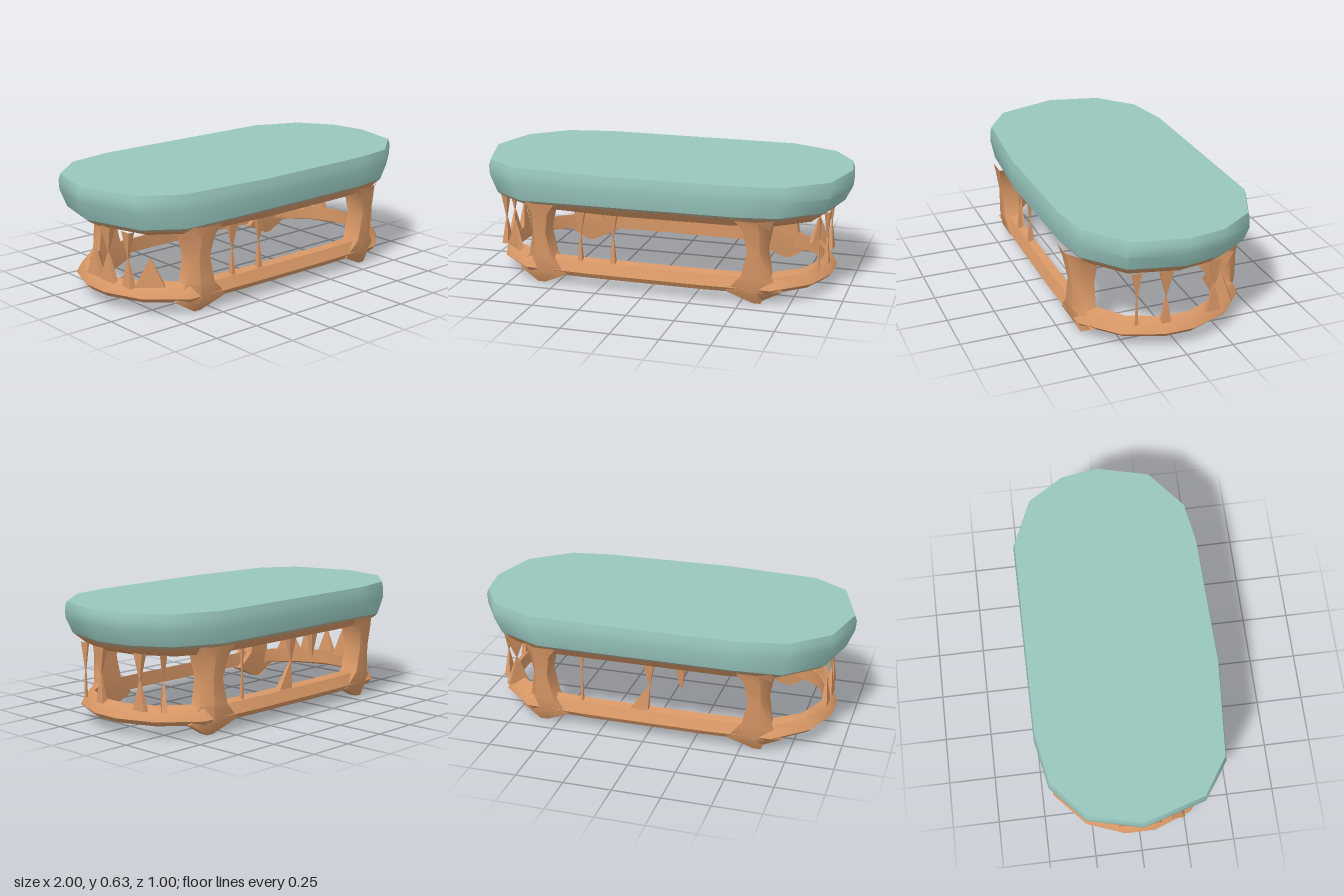
import * as THREE from 'three';
import { toCreasedNormals } from 'three/addons/utils/BufferGeometryUtils.js';

function flat(name, color) {
  const m = new THREE.MeshStandardMaterial({ color });
  m.name = name;
  return m;
}
const teal = flat('teal top', 0x97c6bd);
const blend = flat('faded seam', 0xb4a88c);
const wood = flat('orange wood', 0xd69665);

// Skin a list of equal-length point loops, each running from +x towards +z
function loft(loops, { bottom = false, top = false, crease = 0.8 } = {}) {
  const pos = [];
  const tri = (...pts) => pts.forEach((p) => pos.push(...p));
  const n = loops[0].length;
  for (let k = 0; k + 1 < loops.length; k++) {
    const a = loops[k], b = loops[k + 1];
    for (let i = 0; i < n; i++) {
      const j = (i + 1) % n;
      tri(a[i], b[i], b[j]);
      tri(a[i], b[j], a[j]);
    }
  }
  const cap = (loop, up) => {
    const c = [0, 1, 2].map((d) => loop.reduce((s, p) => s + p[d], 0) / n);
    loop.forEach((p, i) => {
      const q = loop[(i + 1) % n];
      if (up) tri(c, q, p);
      else tri(c, p, q);
    });
  };
  if (bottom) cap(loops[0], false);
  if (top) cap(loops[loops.length - 1], true);
  const g = new THREE.BufferGeometry();
  g.setAttribute('position', new THREE.Float32BufferAttribute(pos, 3));
  return toCreasedNormals(g, crease);
}

function add(parent, name, geometry, material) {
  const mesh = new THREE.Mesh(geometry, material);
  mesh.name = name;
  parent.add(mesh);
}

// Plan outline of the top as [x, z]
const outline = [
  [1, 0], [0.93, 0.28], [0.72, 0.45], [0.5, 0.485], [-0.2, 0.5], [-0.71, 0.46], [-0.9, 0.33],
  [-1, 0], [-0.93, -0.28], [-0.74, -0.45], [-0.48, -0.5], [0.6, -0.5], [0.85, -0.39], [0.97, -0.2],
];
const topLoop = (sx, sz, yOf) => outline.map(([x, z]) => [x * sx, yOf(x), z * sz]);

// Mirror a quarter outline into a full loop
function mirrorQuarter(q, y) {
  const r = [...q].reverse();
  return [
    ...q.map(([x, z]) => [x, y, z]), ...r.map(([x, z]) => [-x, y, z]),
    ...q.map(([x, z]) => [-x, y, -z]), ...r.map(([x, z]) => [x, y, -z]),
  ];
}

// Leg section: x range, z range, with the outer corner pulled in; mirrored by sx, sz
function legLoop(y, x0, x1, z0, z1, sx, sz) {
  const pts = [[x1, z0], [x1, z1 - 0.05], [(x0 + x1) / 2 + 0.02, z1], [x0, z1], [x0, z0]];
  const loop = pts.map(([x, z]) => [x * sx, y, z * sz]);
  return sx * sz < 0 ? loop.reverse() : loop;
}

// Thin rectangle turned so that its width follows the rim direction
function spikeLoop(x, y, z, width, depth, turn) {
  return [[1, -1], [1, 1], [-1, 1], [-1, -1]].map(([u, v]) => {
    const a = (u * width) / 2, b = (v * depth) / 2;
    return [x + a * Math.cos(turn) - b * Math.sin(turn), y, z + a * Math.sin(turn) + b * Math.cos(turn)];
  });
}

export function createModel() {
  const model = new THREE.Group();
  model.name = 'table';

  // Table top, the faded seam and the apron under it
  const seamY = (x) => (x < -0.6 ? 0.455 : 0.47);
  const seam = topLoop(0.955, 0.968, seamY);
  const seamLow = topLoop(0.935, 0.94, (x) => seamY(x) - 0.016);
  add(model, 'tableTop', loft([
    seam,
    topLoop(0.995, 1, () => 0.55),
    topLoop(1, 0.992, () => 0.6),
    topLoop(0.99, 0.98, () => 0.632),
  ], { top: true, crease: 0.75 }), teal);
  add(model, 'seam', loft([seamLow, seam]), blend);
  add(model, 'apron', loft([topLoop(0.885, 0.87, () => 0.412), seamLow], { bottom: true }), wood);

  // Lower ring: a slim bar sloping outwards to its lower edge
  const lower = [[0.89, 0.07], [0.815, 0.26], [0.64, 0.42], [0.3, 0.435]];
  const outer = [[0.915, 0.08], [0.84, 0.28], [0.66, 0.44], [0.3, 0.452]];
  const upper = [[0.885, 0.08], [0.81, 0.265], [0.63, 0.415], [0.28, 0.425]];
  const inner = [[0.855, 0.07], [0.78, 0.24], [0.6, 0.37], [0.27, 0.385]];
  const underside = mirrorQuarter(inner, 0.078);
  add(model, 'lowerRing', loft([
    underside, mirrorQuarter(lower, 0.063), mirrorQuarter(outer, 0.09),
    mirrorQuarter(upper, 0.145), mirrorQuarter(inner, 0.157), underside,
  ]), wood);

  // Legs running down into pointed feet
  for (const sx of [1, -1]) {
    for (const sz of [1, -1]) {
      const L = (...a) => legLoop(...a, sx, sz);
      add(model, `${sz > 0 ? 'front' : 'back'}${sx > 0 ? 'Left' : 'Right'}Leg`, loft([
        L(0.004, 0.565, 0.605, 0.36, 0.405),
        L(0.07, 0.43, 0.71, 0.35, 0.442),
        L(0.155, 0.51, 0.65, 0.34, 0.45),
        L(0.29, 0.54, 0.63, 0.34, 0.448),
        L(0.4, 0.52, 0.65, 0.33, 0.465),
        L(0.455, 0.48, 0.67, 0.32, 0.478),
      ], { bottom: true }), wood);
    }
  }

  // Spikes between ring and apron: x, z, turn, top width, bottom width, depth, foot shift in x
  // (a width of 0 leaves that half out)
  const end = Math.PI / 2;
  const spikes = [
    [-0.36, 0.405, 0, 0.06, 0.025, 0.03, 0], [-0.18, 0.405, 0, 0.05, 0.03, 0.03, 0],
    [-0.01, -0.405, 0, 0.06, 0.1, 0.035, 0.055], [0.36, -0.405, 0, 0.02, 0.015, 0.02, 0],
    [-0.18, -0.405, 0, 0.05, 0, 0.04, 0],
    [0.86, 0.21, end, 0.05, 0.015, 0.012, 0], [0.88, 0.065, end, 0.07, 0.05, 0.03, 0],
    [0.86, -0.2, end, 0.06, 0.08, 0.03, 0], [0.78, -0.28, 2.25, 0.12, 0.12, 0.03, 0],
    [-0.86, 0.21, end, 0.06, 0.07, 0.035, 0], [-0.875, 0.065, end, 0.08, 0.11, 0.035, 0],
    [-0.87, -0.055, end, 0, 0.11, 0.035, 0], [-0.78, 0.28, 0.75, 0, 0.15, 0.03, 0],
  ];
  for (const [x, z, turn, topWidth, footWidth, depth, shift] of spikes) {
    const tip = spikeLoop(x, 0.287, z, 0.006, 0.006, turn);
    if (topWidth) {
      add(model, 'upperSpike', loft([tip, spikeLoop(x, 0.425, z, topWidth, depth, turn)], { bottom: true }), wood);
    }
    if (footWidth) {
      add(model, 'lowerSpike', loft([spikeLoop(x + shift, 0.14, z, footWidth, depth, turn), tip], { top: true }), wood);
    }
  }
  return model;
}
